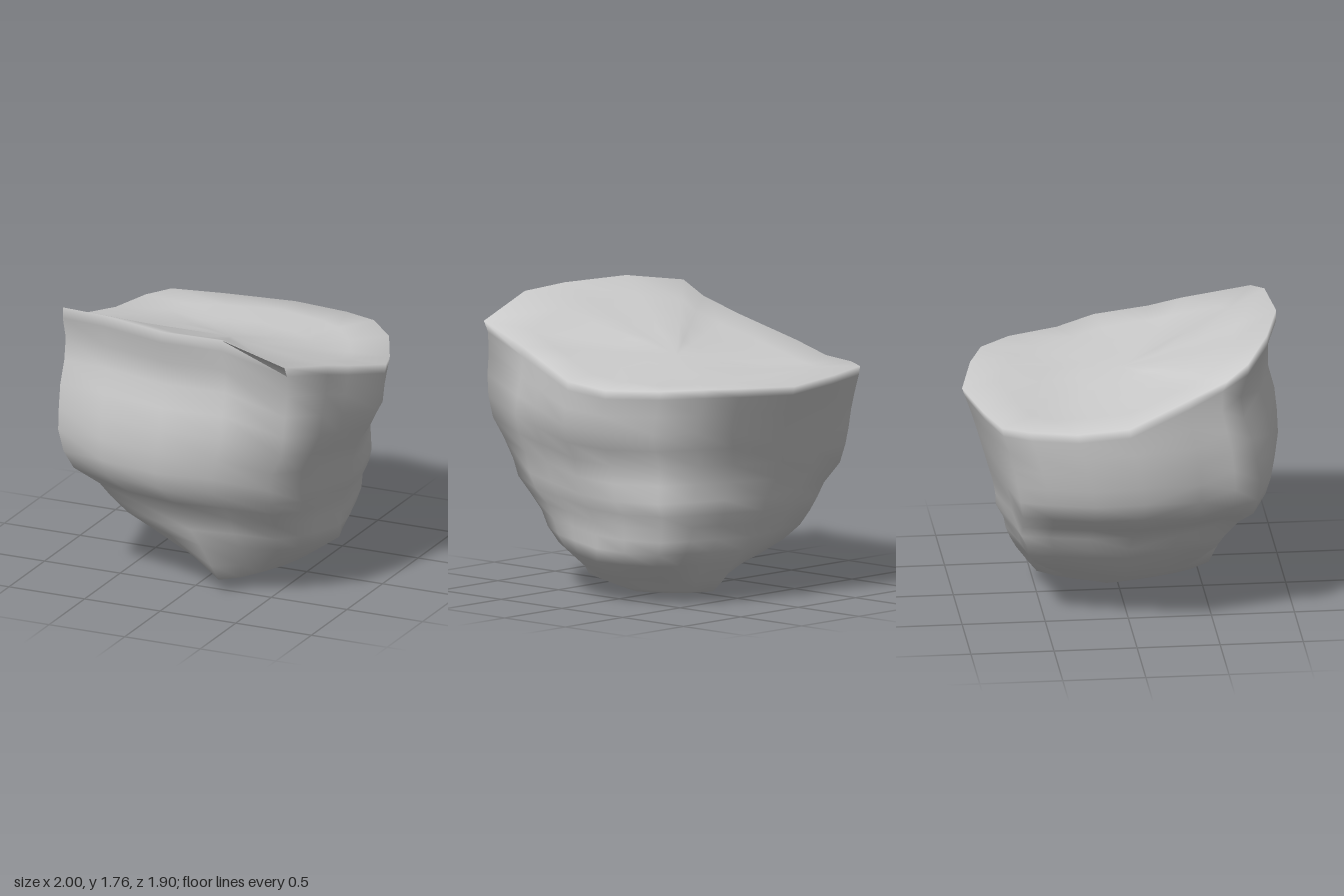
import * as THREE from 'three';
import { mergeVertices } from 'three/addons/utils/BufferGeometryUtils.js';

const { lerp, smoothstep } = THREE.MathUtils;

// Piecewise-linear lookup through [key, value] pairs with rising keys
function sample(pairs, k) {
  if (k <= pairs[0][0]) return pairs[0][1];
  for (let i = 1; i < pairs.length; i++) {
    const [k0, v0] = pairs[i - 1], [k1, v1] = pairs[i];
    if (k <= k1) return v0 + (v1 - v0) * (k - k0) / (k1 - k0);
  }
  return pairs[pairs.length - 1][1];
}

// Extents of the boulder on each side: [height, reach]
const LEFT = [[0, 0.1], [0.04, 0.41], [0.25, 0.71], [0.48, 0.73], [0.65, 0.8], [0.87, 0.84], [1.06, 0.97], [1.38, 1]];
const RIGHT = [[0, 0.1], [0.12, -0.2], [0.25, -0.42], [0.49, -0.66], [0.61, -0.7], [0.74, -0.9], [0.92, -0.97], [1.15, -1]];
const FRONT = [[0, -0.07], [0.08, 0.56], [0.37, 0.68], [0.52, 0.72], [0.69, 0.89], [0.92, 0.96], [1.22, 0.95], [1.41, 0.9], [1.55, 0.9], [1.64, 0.95]];
const BACK = [[0, -0.07], [0.06, -0.48], [0.27, -0.63], [0.4, -0.68], [0.5, -0.7], [0.54, -0.74], [0.68, -0.75], [1.13, -0.88], [1.33, -0.95]];

// Slope of the top, [z, height]
const TOP = [[-0.95, 1.33], [-0.75, 1.36], [-0.35, 1.34], [0, 1.42], [0.4, 1.55], [0.66, 1.65], [0.94, 1.755]];

// Rim points x, z, height, then x, z of the outline lower down where it differs
const RIM = [
  [1, -0.03, 1.38], [0.9, 0.3, 1.46, 0.93, 0.3], [0.855, 0.5, 1.52, 0.88, 0.54],
  [0.76, 0.88, 1.62, 0.76, 0.77], [0.36, 0.91, 1.75, 0.38, 0.89],
  [-0.02, 0.94, 1.755], [-0.45, 0.84, 1.76, -0.45, 0.87], [-0.79, 0.69, 1.71, -0.8, 0.76],
  [-0.83, 0.57, 1.62, -0.81, 0.59], [-0.89, 0.36, 1.53],
  [-1, -0.02, 1.4], [-0.93, -0.34, 1.35], [-0.86, -0.62, 1.35], [-0.765, -0.785, 1.35, -0.8, -0.83],
  [-0.45, -0.87, 1.34], [-0.02, -0.95, 1.33], [0.36, -0.86, 1.35, 0.36, -0.87],
  [0.58, -0.77, 1.36, 0.64, -0.8], [0.77, -0.58, 1.35, 0.87, -0.66], [0.92, -0.27, 1.34, 0.96, -0.32],
];

const LEVELS = [0, 0.03, 0.046, 0.1, 0.181, 0.24, 0.3, 0.36, 0.42, 0.48, 0.56, 0.64, 0.72, 0.8, 0.88, 0.96, 1];
const TOP_RINGS = [0.75, 0.5, 0.25, 0];

function boulderGeometry() {
  const n = RIM.length, pos = [], index = [];

  // Sides: each ring is the outline fitted to the extents at its height,
  // with its corners cut off towards the foot
  for (const t of LEVELS) {
    const k = smoothstep(t, 0.4, 0.92), corner = smoothstep(t, 0.03, 0.3);
    for (const [x, z, h, lowX = x, lowZ = z] of RIM) {
      const y = t * h;
      const u = lerp(lowX, x, k), w = lerp(lowZ, z, k) / 0.95;
      const round = Math.max(1, (Math.abs(u) ** 1.3 + Math.abs(w) ** 1.3) ** (1 / 1.3));
      const cut = lerp(1 / round, 1, corner);
      pos.push(
        lerp(sample(RIGHT, y), sample(LEFT, y), (u * cut + 1) / 2),
        y,
        lerp(sample(BACK, y), sample(FRONT, y), (w * cut + 1) / 2));
    }
  }
  // Top: rings shrinking to the middle, following the slope
  for (const s of TOP_RINGS) {
    for (const [x, z, h] of RIM) {
      pos.push(x * s, sample(TOP, z * s) + (h - sample(TOP, z)) * s, z * s);
    }
  }

  // Skin between rings; the first and last ring are single points
  const rows = LEVELS.length + TOP_RINGS.length;
  for (let r = 0; r < rows - 1; r++) {
    for (let i = 0; i < n; i++) {
      const a = r * n + i, b = r * n + (i + 1) % n;
      if (r < rows - 2) index.push(a, a + n, b + n);
      if (r > 0) index.push(a, b + n, b);
    }
  }
  const geometry = new THREE.BufferGeometry();
  geometry.setAttribute('position', new THREE.Float32BufferAttribute(pos, 3));
  geometry.setIndex(index);
  const merged = mergeVertices(geometry, 1e-4);
  merged.computeVertexNormals();
  return merged;
}

export function createModel() {
  const group = new THREE.Group();
  group.name = 'rock';
  const boulder = new THREE.Mesh(boulderGeometry(), new THREE.MeshStandardMaterial({ color: 0xcccccc }));
  boulder.name = 'boulder';
  group.add(boulder);
  return group;
}
